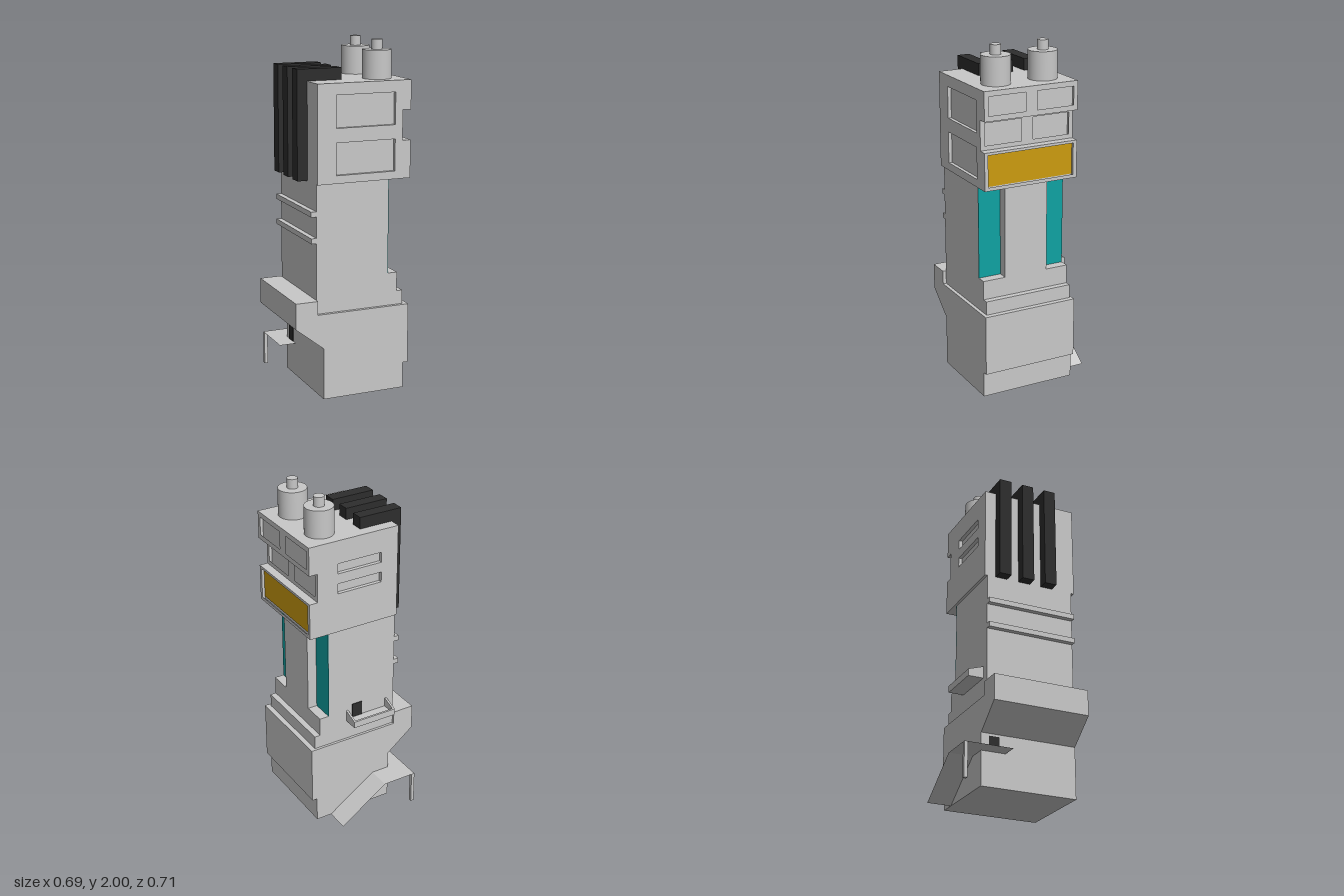
import * as THREE from 'three';

const GREY = new THREE.MeshStandardMaterial({ color: 0xc8c8c8, name: 'concrete grey' });
const GREY_THIN = GREY.clone(); // same grey, for the thin walkway
GREY_THIN.side = THREE.DoubleSide;
const BLACK = new THREE.MeshStandardMaterial({ color: 0x2d2d2d, name: 'charcoal' });
const GOLD = new THREE.MeshStandardMaterial({ color: 0xcb9b0f, name: 'gold' });
const TEAL = new THREE.MeshStandardMaterial({ color: 0x0fa2a2, name: 'teal' });

export function createModel() {
  const root = new THREE.Group();
  root.name = 'towerBuilding';

  const add = (name, geometry, material = GREY) => {
    const mesh = new THREE.Mesh(geometry, material);
    mesh.name = name;
    root.add(mesh);
    return mesh;
  };
  // box given by its limits on each axis
  const box = (name, [x0, x1], [y0, y1], [z0, z1], material) => {
    const g = new THREE.BoxGeometry(x1 - x0, y1 - y0, z1 - z0);
    g.translate((x0 + x1) / 2, (y0 + y1) / 2, (z0 + z1) / 2);
    return add(name, g, material);
  };
  const outline = (pts) => new THREE.Shape(pts.map(([a, b]) => new THREE.Vector2(a, b)));
  const rect = (a0, a1, b0, b1) => [[a0, b0], [a1, b0], [a1, b1], [a0, b1]];
  const extrude = (pts, holes, depth) => {
    const shape = outline(pts);
    holes.forEach((h) => shape.holes.push(outline(h)));
    return new THREE.ExtrudeGeometry(shape, { depth, bevelEnabled: false });
  };
  // x,y profile extruded along z
  const slab = (name, pts, z0, z1, holes = []) =>
    add(name, extrude(pts, holes, z1 - z0).translate(0, 0, z0));
  // z,y profile extruded along x
  const sideSlab = (name, pts, x0, x1, holes = []) => {
    const flip = (list) => list.map(([z, y]) => [-z, y]);
    const g = extrude(flip(pts), holes.map(flip), x1 - x0);
    return add(name, g.rotateY(Math.PI / 2).translate(x0, 0, 0));
  };

  // base with overhanging side bay
  slab('base', [
    [-0.18, 0], [0.315, 0], [0.315, 0.15], [0.345, 0.15], [0.345, 0.5], [-0.215, 0.5],
    [-0.215, 0.58], [-0.345, 0.58], [-0.345, 0.43], [-0.18, 0.3],
  ], -0.215, 0.355);
  box('baseStep', [-0.215, 0.315], [0.5, 0.58], [-0.2, 0.335]);

  // shaft with two recessed corners
  box('shaftFoot', [-0.215, 0.28], [0.58, 0.69], [-0.2, 0.335]);
  box('shaft', [-0.215, 0.22], [0.69, 1.235], [-0.2, 0.335]);
  box('shaftPillar', [0.22, 0.28], [0.69, 1.235], [-0.065, 0.2]);
  for (const z of [[-0.2, -0.065], [0.2, 0.335]]) {
    box('cornerGlazing', [0.219, 0.223], [0.69, 1.235], z, TEAL);
  }
  for (const y of [0.905, 1.055]) {
    box('ledge', [-0.245, -0.215], [y, y + 0.03], [-0.2, 0.335]);
  }

  // head: core, then pierced facing panels that leave recessed windows
  const headProfile = (inset) => [
    [-0.215, 1.235], [0.345 - inset, 1.235], [0.345 - inset, 1.45], [0.295 - inset, 1.45],
    [0.295 - inset, 1.62], [0.345 - inset, 1.62], [0.345 - inset, 1.785], [-0.215, 1.785],
  ];
  const back = -0.193, front = 0.335;
  slab('headCore', headProfile(0.02), back, front);
  slab('headFront', headProfile(0), front, 0.355, [
    rect(-0.105, 0.25, 1.28, 1.46), rect(-0.105, 0.25, 1.54, 1.72),
  ]);
  slab('headBack', headProfile(0), -0.215, back, [
    rect(-0.11, 0.168, 1.47, 1.53), rect(-0.11, 0.168, 1.59, 1.65),
  ]);
  const windowPair = (y0, y1) => [rect(-0.19, 0.035, y0, y1), rect(0.105, 0.33, y0, y1)];
  sideSlab('upperWindowPanel', rect(back, front, 1.62, 1.785), 0.325, 0.345, windowPair(1.65, 1.755));
  sideSlab('middleWindowPanel', rect(back, front, 1.45, 1.62), 0.275, 0.295, windowPair(1.475, 1.6));
  sideSlab('signFrame', rect(back, front, 1.235, 1.45), 0.325, 0.345,
    [rect(-0.192, 0.334, 1.255, 1.435)]);
  box('signPanel', [0.324, 0.329], [1.255, 1.435], [-0.192, 0.334], GOLD);

  // black ducts running up the side and over the roof
  for (const z of [-0.113, 0.031, 0.174]) {
    const pts = [[-0.275, 1.235], [-0.215, 1.235], [-0.215, 1.785], [-0.012, 1.785],
      [-0.012, 1.852], [-0.275, 1.852]];
    slab('roofDuct', pts, z - 0.036, z + 0.036).material = BLACK;
  }

  // chimneys
  for (const z of [-0.075, 0.213]) {
    const tank = new THREE.CylinderGeometry(0.082, 0.082, 0.16, 40);
    add('chimney', tank.translate(0.2, 1.865, z));
    const pipe = new THREE.CylinderGeometry(0.031, 0.031, 0.055, 32);
    add('chimneyPipe', pipe.translate(0.2, 1.9725, z));
  }

  // rear balcony with sloping side walls
  box('balconyFloor', [-0.17, 0.105], [0.62, 0.635], [-0.29, -0.2]);
  box('balconyRail', [-0.17, 0.105], [0.635, 0.66], [-0.29, -0.278]);
  for (const x of [-0.17, 0.093]) {
    sideSlab('balconySide', [[-0.2, 0.635], [-0.29, 0.635], [-0.29, 0.66], [-0.2, 0.69]], x, x + 0.012);
  }
  box('balconyDoor', [0, 0.065], [0.635, 0.722], [-0.204, -0.199], BLACK);

  // entrance: side door, thin landing, ramp and corner post
  box('entranceDoor', [-0.185, -0.179], [0.2, 0.285], [-0.17, -0.11], BLACK);
  const landing = new THREE.ShapeGeometry(outline([
    [-0.28, 0.07], [-0.28, 0.355], [-0.07, 0.355], [-0.07, 0.215], [-0.18, 0.215], [-0.18, 0.07],
  ]));
  add('landing', landing.rotateX(-Math.PI / 2).scale(1, 1, 1).translate(0, 0.198, 0), GREY_THIN);
  const ramp = new THREE.PlaneGeometry(Math.hypot(0.29, 0.198), 0.14);
  ramp.rotateX(-Math.PI / 2).rotateZ(-Math.atan2(0.198, 0.29)).translate(0.075, 0.099, -0.285);
  add('ramp', ramp, GREY_THIN);
  box('landingPost', [-0.28, -0.26], [0, 0.198], [-0.355, -0.335]);

  return root;
}
